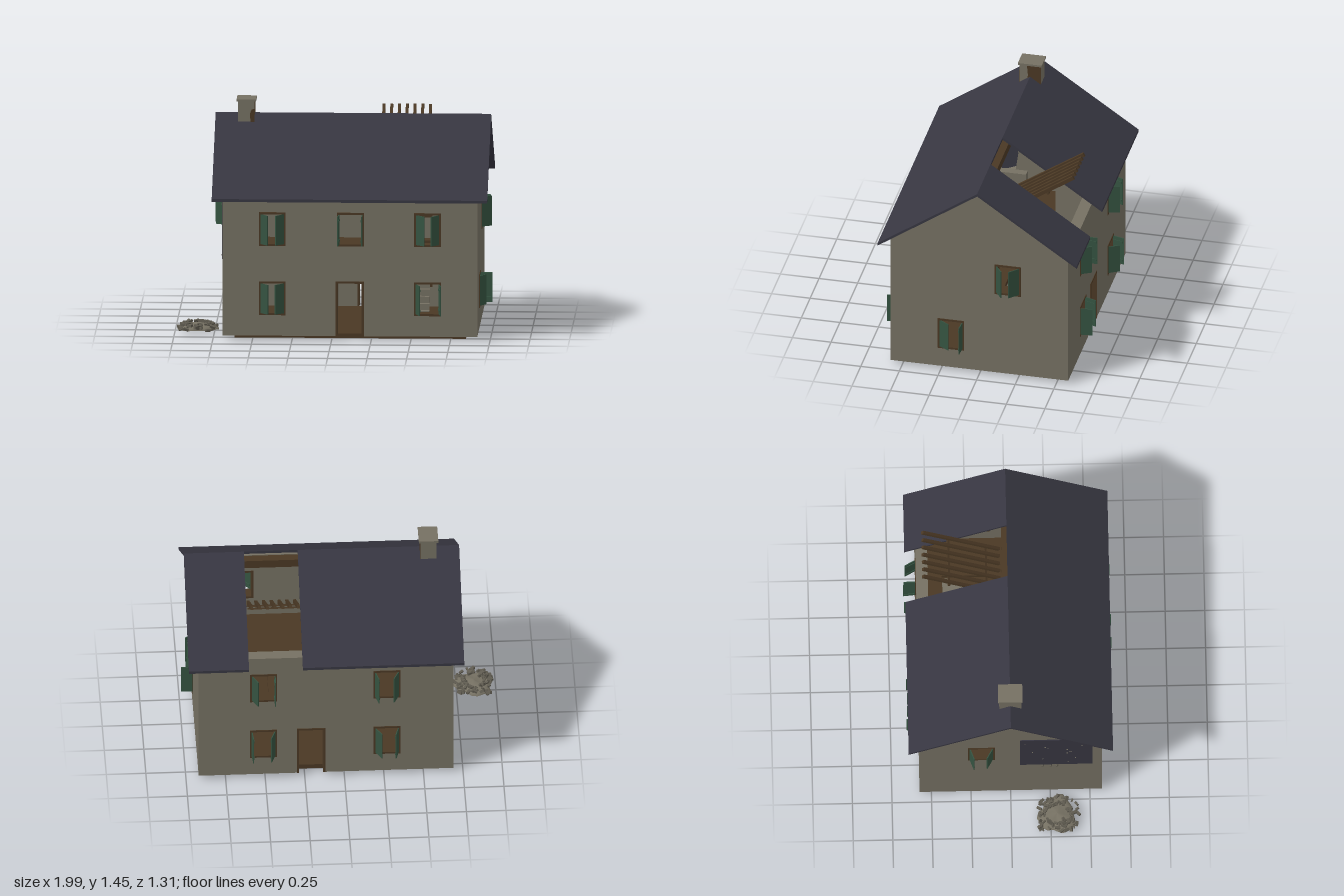
import * as THREE from 'three';

const mat = (name, color) => {
  const m = new THREE.MeshStandardMaterial({ color });
  m.name = name;
  return m;
};

export function createModel() {
  const plaster = mat('plaster', 0x757062);
  const slate = mat('slate', 0x373641);
  const wood = mat('wood', 0x4a3824);
  const green = mat('shutterGreen', 0x345240);
  const stone = mat('rubbleStone', 0x5f5b50);

  const model = new THREE.Group();
  model.name = 'farmhouse';
  const CX = 0.115, HW = 0.805, HD = 0.575, T = 0.075;
  const BASE = 0.025, EAVE = 0.94, PITCH = 0.69;
  const HI = 0.708, LO = 0.265;          // window centre heights
  const WW = 0.17, WH = 0.216;           // window size

  let seed = 7;
  const rnd = () => (seed = (seed * 16807) % 2147483647) / 2147483647;

  const add = (parent, name, geo, material, x = 0, y = 0, z = 0) => {
    const m = new THREE.Mesh(geo, material);
    m.name = name;
    m.position.set(x, y, z);
    parent.add(m);
    return m;
  };
  // Box given by its minimum and maximum corners
  const span = (parent, name, material, x0, x1, y0, y1, z0, z1) =>
    add(parent, name, new THREE.BoxGeometry(x1 - x0, y1 - y0, z1 - z0), material,
      (x0 + x1) / 2, (y0 + y1) / 2, (z0 + z1) / 2);
  const shapeOf = (pts) => new THREE.Shape(pts.map(([x, y]) => new THREE.Vector2(x, y)));
  const rect = (x0, x1, y0, y1) => [[x0, y0], [x1, y0], [x1, y1], [x0, y1]];
  const extrude = (shape, depth) => new THREE.ExtrudeGeometry(shape, { depth, bevelEnabled: false });

  // Timber lining around an opening
  function frame(parent, x, y0, y1, w, sill) {
    const f = new THREE.Group();
    f.name = sill ? 'windowFrame' : 'doorFrame';
    const b = 0.013, z0 = -T - 0.003, z1 = 0.004, h = w / 2;
    span(f, 'leftJamb', wood, x - h, x - h + b, y0, y1, z0, z1);
    span(f, 'rightJamb', wood, x + h - b, x + h, y0, y1, z0, z1);
    span(f, 'lintel', wood, x - h, x + h, y1 - b, y1, z0, z1);
    if (sill) span(f, 'sill', wood, x - h, x + h, y0, y0 + b, z0, z1);
    parent.add(f);
  }

  // Hinged shutter; angle is degrees away from closed
  function shutter(parent, x, y, side, angle) {
    const s = new THREE.Group();
    s.name = 'shutter';
    s.position.set(x + side * (WW / 2 - 0.012), y, 0);
    s.rotation.y = side * THREE.MathUtils.degToRad(angle);
    add(s, 'shutterLeaf', new THREE.BoxGeometry(0.078, 0.19, 0.006), green, -side * 0.039, 0, 0);
    for (const dy of [-0.065, 0.065])
      add(s, 'shutterBatten', new THREE.BoxGeometry(0.066, 0.014, 0.004), green, -side * 0.039, dy, -0.005);
    parent.add(s);
  }

  // Wall with its outside at local z = 0, facing +z; windows are [x, y, leftAngle, rightAngle]
  function wall(name, half, peak, windows, door, breach) {
    const g = new THREE.Group();
    g.name = name;
    const outline = [[-half, BASE]];
    if (door !== null)
      outline.push([door - 0.09, BASE], [door - 0.09, 0.375], [door + 0.09, 0.375], [door + 0.09, BASE]);
    outline.push([half, BASE], [half, EAVE]);
    if (peak) outline.push([0, EAVE + PITCH * half]);
    outline.push([-half, EAVE]);
    const shape = shapeOf(outline);
    for (const [x, y, a, b] of windows) {
      shape.holes.push(shapeOf(rect(x - WW / 2, x + WW / 2, y - WH / 2, y + WH / 2)));
      frame(g, x, y - WH / 2, y + WH / 2, WW, true);
      shutter(g, x, y, -1, a);
      shutter(g, x, y, 1, b);
    }
    if (breach) shape.holes.push(shapeOf(breach));
    if (door !== null) frame(g, door, BASE, 0.375, 0.18, false);
    add(g, name + 'Plaster', extrude(shape, T), plaster, 0, 0, -T);
    model.add(g);
    return g;
  }

  const front = wall('frontWall', HW - T, false, [
    [-0.49, HI, 55, 50], [0.005, HI, 95, 90], [0.49, HI, 45, 52],
    [-0.49, LO, 52, 47], [0.49, LO, 70, 100]], -0.002, null);
  front.position.set(CX, 0, HD);

  const back = wall('backWall', HW - T, false, [
    [-0.395, HI, 62, 90], [0.385, HI, 75, 65],
    [-0.395, LO, 85, 70], [0.385, LO, 60, 75]], -0.095, null);
  back.position.set(CX, 0, -HD);
  back.rotation.y = Math.PI;

  const leftGable = wall('leftGable', HD, true, [[0.183, HI, 55, 45], [-0.185, LO, 32, 87]], null, null);
  leftGable.position.set(CX + HW, 0, 0);
  leftGable.rotation.y = Math.PI / 2;

  const breach = [[0.12, 0.58], [0.22, 0.54], [0.34, 0.57], [0.47, 0.55], [0.48, 0.72], [0.44, 0.88], [0.3, 0.9], [0.16, 0.86], [0.1, 0.72]];
  const rightGable = wall('rightGable', HD, true, [[-0.185, HI, 70, 60]], null, breach);
  rightGable.position.set(CX - HW, 0, 0);
  rightGable.rotation.y = -Math.PI / 2;

  // Sheet nailed over the broken wall
  span(rightGable, 'coverSheet', slate, 0.06, 0.515, 0.505, 0.945, 0.001, 0.006);
  for (let i = 0; i < 12; i++)
    add(rightGable, 'sheetNail', new THREE.BoxGeometry(0.007, 0.007, 0.004), plaster,
      0.09 + 0.39 * rnd(), 0.53 + 0.39 * rnd(), 0.007);
  for (const z of [0.2, 0.25, 0.29])
    add(rightGable, 'looseStone', new THREE.DodecahedronGeometry(0.011), stone, z, 0.492, 0.006);

  // Floors, partitions and stairs
  span(model, 'groundFloor', wood, CX - HW + T, CX + HW - T, 0, 0.03, -HD + T, HD - T);
  const floorShape = shapeOf(rect(CX - HW + T, CX + HW - T, -HD + T, HD - T));
  floorShape.holes.push(shapeOf(rect(0.465, 0.595, 0.09, 0.41)));   // stairwell
  const upperFloor = add(model, 'upperFloor', extrude(floorShape, 0.03), wood, 0, 0.44, 0);
  upperFloor.rotation.x = -Math.PI / 2;
  span(model, 'lowerPartition', plaster, -0.05, 0, 0.03, 0.44, -HD + T, HD - T);
  span(model, 'upperPartitionBack', plaster, -0.05, 0, 0.47, 0.94, -HD + T, -0.28);
  span(model, 'upperPartitionFront', plaster, -0.05, 0, 0.47, 0.94, -0.09, HD - T);
  for (let i = 0; i < 10; i++) {
    const top = 0.07 + i * 0.041, z = -0.1 - i * 0.03;
    span(model, 'stairStep', plaster, 0.47, 0.59, top - 0.04, top, z - 0.036, z);
  }

  // Roof slabs; side is +1 at the front and -1 at the back
  function roof(name, x0, x1, side) {
    const e = -side * 0.645, top = 1.355, t = 0.018, drop = 0.645 * PITCH;
    const pts = [[0, top - t], [0, top], [e, top - drop], [e, top - drop - t]];
    const geo = extrude(shapeOf(pts), x1 - x0);
    geo.rotateY(Math.PI / 2);
    add(model, name, geo, slate, x0, 0, 0);
  }
  roof('frontRoof', -0.755, 0.985, 1);
  roof('backRoofWide', -0.755, 0.265, -1);
  roof('backRoofNarrow', 0.605, 0.985, -1);
  span(model, 'ridgeBeam', wood, CX - HW + T, CX + HW - T, 1.25, 1.305, -0.035, 0.02);

  // Fallen rafters, tipped up through the roof opening
  const rafters = new THREE.Group();
  rafters.name = 'fallenRafters';
  rafters.position.set(0.435, 1.15, -0.29);
  rafters.rotation.x = Math.atan(0.68);
  for (let i = 0; i < 7; i++)
    add(rafters, 'rafter', new THREE.BoxGeometry(0.018, 0.024, 0.585), wood, -0.147 + i * 0.049, 0, 0);
  for (const z of [-0.085, 0.2])
    add(rafters, 'rafterBatten', new THREE.BoxGeometry(0.33, 0.01, 0.015), wood, 0, -0.017, z);
  model.add(rafters);

  // Chimney with fallen plaster on one corner
  const chimney = new THREE.Group();
  chimney.name = 'chimney';
  span(chimney, 'chimneyStack', plaster, -0.61, -0.508, 1.22, 1.437, -0.07, 0.07);
  span(chimney, 'chimneyCap', plaster, -0.62, -0.497, 1.437, 1.45, -0.077, 0.077);
  const sidePatch = shapeOf([[-0.018, 1.29], [0.07, 1.29], [0.07, 1.437], [-0.02, 1.437], [-0.014, 1.37]]);
  const side = add(chimney, 'bareBrickSide', extrude(sidePatch, 0.003), wood, -0.508, 0, 0);
  side.rotation.y = Math.PI / 2;
  const cornerPatch = shapeOf([[-0.532, 1.29], [-0.508, 1.29], [-0.508, 1.388], [-0.525, 1.385], [-0.535, 1.36]]);
  add(chimney, 'bareBrickFront', extrude(cornerPatch, 0.003), wood, 0, 0, 0.07);
  const lowPatch = shapeOf(rect(0.054, 0.07, 1.29, 1.35));
  add(chimney, 'bareBrickCorner', extrude(lowPatch, 0.003), wood, -0.508, 0, 0).rotation.y = Math.PI / 2;
  model.add(chimney);

  // Rubble heap: an uneven dome with scattered fragments
  const rubble = new THREE.Group();
  rubble.name = 'rubbleHeap';
  rubble.position.set(-0.86, 0.02, 0.29);
  const dome = new THREE.SphereGeometry(1, 22, 8, 0, Math.PI * 2, 0, Math.PI / 2);
  const p = dome.attributes.position;
  for (let i = 0; i < p.count; i++) {
    const x = p.getX(i), y = p.getY(i), z = p.getZ(i), a = Math.atan2(z, x);
    const r = 1 + 0.12 * Math.sin(3 * a + 1) + 0.06 * Math.sin(7 * a);
    const bump = 1 + 0.2 * Math.sin(6 * x + 1) * Math.cos(5 * z);
    p.setXYZ(i, x * r * 0.125, y * bump * 0.033, z * r * 0.115);
  }
  dome.computeVertexNormals();
  add(rubble, 'rubbleMound', dome, plaster);
  for (let i = 0; i < 70; i++) {
    const a = rnd() * Math.PI * 2, d = 0.45 + 0.6 * rnd();
    const s = 0.01 + 0.008 * rnd();
    const chip = add(rubble, 'rubbleFragment', new THREE.BoxGeometry(s * 2, s, s), stone,
      Math.cos(a) * d * 0.122, 0.006 + 0.034 * Math.sqrt(Math.max(0, 1 - d * d)), Math.sin(a) * d * 0.15);
    chip.rotation.set(rnd() - 0.5, rnd() * Math.PI, rnd() - 0.5);
  }
  model.add(rubble);

  return model;
}
